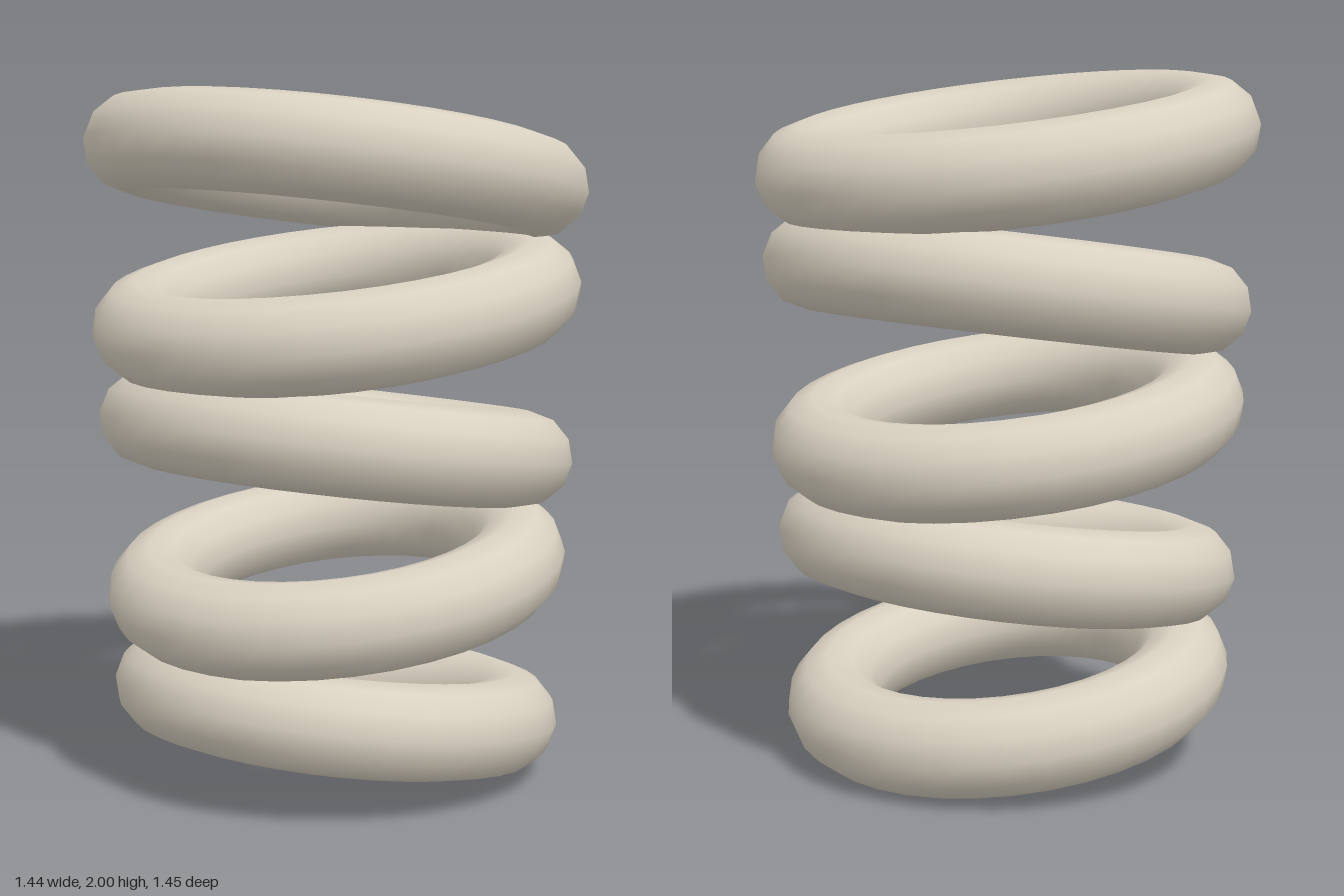
import * as THREE from 'three';

// A stack of five rings, tilted alternately and widening toward the top
export function createModel() {
  const group = new THREE.Group();
  group.name = 'ringStack';
  const stone = new THREE.MeshStandardMaterial({ color: 0xd8d0c0 });
  stone.name = 'warm stone';

  const count = 5;
  const tubeRadius = 0.137;
  const tilt = 0.15;

  for (let i = 0; i < count; i++) {
    const geometry = new THREE.TorusGeometry(0.52 + i * 0.0175, tubeRadius, 12, 36);
    geometry.rotateX(-Math.PI / 2); // lay the ring flat
    const ring = new THREE.Mesh(geometry, stone);
    ring.name = `ring${i + 1}`;
    ring.position.y = 0.213 + i * 0.391;
    ring.rotation.z = i % 2 ? tilt : -tilt; // alternate the lean
    group.add(ring);
  }
  return group;
}
